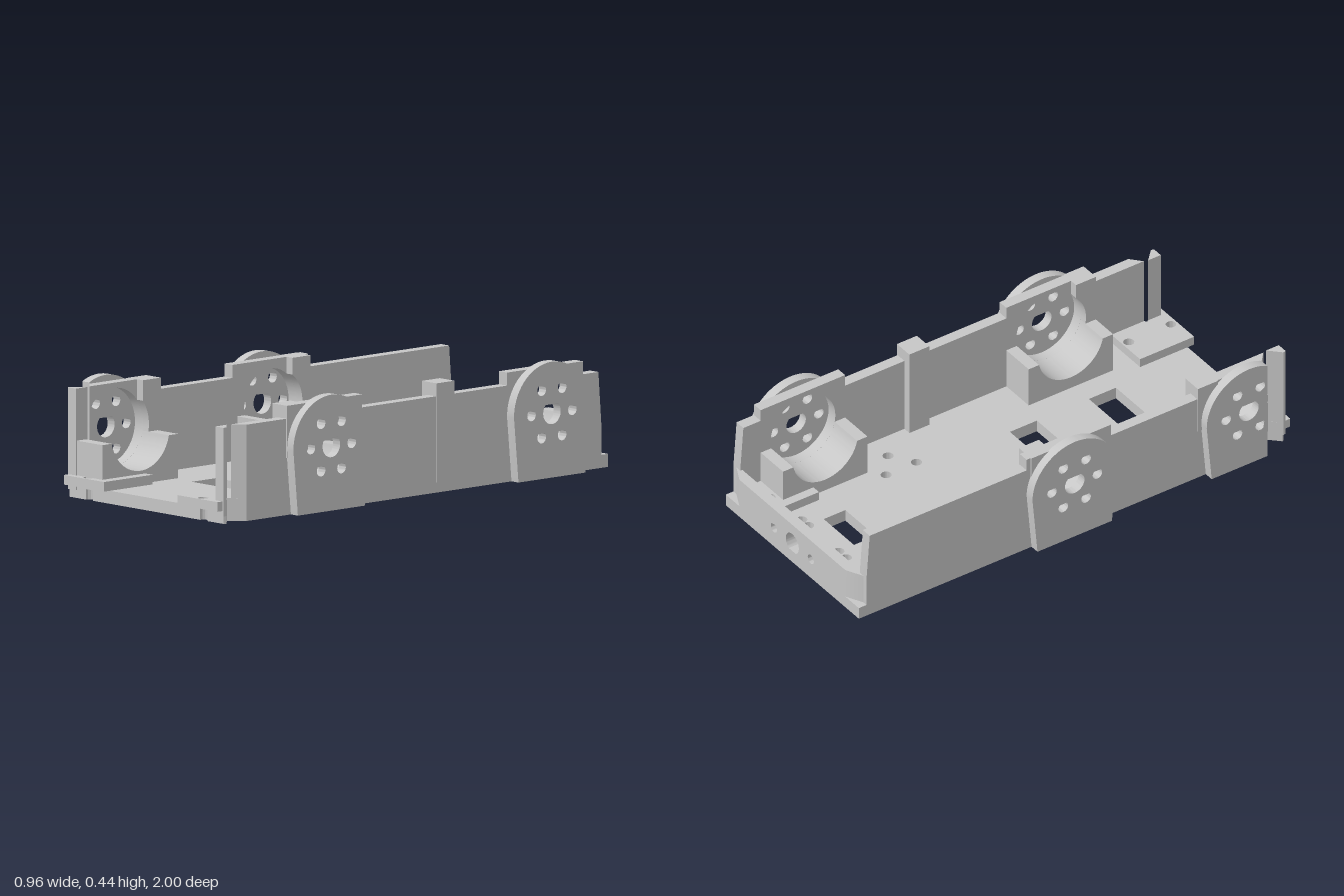
import * as THREE from 'three';
import { toCreasedNormals } from 'three/addons/utils/BufferGeometryUtils.js';

const grey = new THREE.MeshStandardMaterial({ color: 0xc6c6c6 });
grey.name = 'plain grey';

const polygon = pts => new THREE.Shape(pts.map(([a, b]) => new THREE.Vector2(a, -b)));
const sidePolygon = pts => new THREE.Shape(pts.map(([z, y]) => new THREE.Vector2(-z, y)));

// Holes all run anticlockwise
const circle = (u, v, r) => new THREE.Path().absarc(u, v, r, 0, Math.PI * 2, false);
const windowHole = (x0, x1, z0, z1) => new THREE.Path(
  [[x0, -z1], [x1, -z1], [x1, -z0], [x0, -z0]].map(q => new THREE.Vector2(...q)));

// Round hole with a pointed roof
function teardrop(u, v, r) {
  const p = new THREE.Path();
  p.moveTo(u, v + r * 1.414);
  p.absarc(u, v, r, Math.PI * 0.75, Math.PI * 2.25, false);
  p.closePath();
  return p;
}

const extrude = (shape, depth) =>
  new THREE.ExtrudeGeometry(shape, { depth, bevelEnabled: false, curveSegments: 24 });

// Plan shape (x, z) raised from y0 to y1
const slab = (shape, y0, y1) => extrude(shape, y1 - y0).rotateX(-Math.PI / 2).translate(0, y0, 0);

// Side shape (z, y) spanning x0 to x1
const panel = (shape, x0, x1) => extrude(shape, x1 - x0).rotateY(Math.PI / 2).translate(x0, 0, 0);

// Cut the front end along the slanted corner notch
function cutFront(geo) {
  const p = geo.attributes.position;
  for (let i = 0; i < p.count; i++) {
    const t = Math.min(1, Math.max(0, (Math.abs(p.getX(i)) - 0.395) / 0.045));
    p.setZ(i, Math.min(p.getZ(i), 0.9 - 0.04 * t));
  }
  return geo;
}

export function createModel() {
  const group = new THREE.Group();
  const add = (name, geo) => {
    geo = geo.index ? geo.toNonIndexed() : geo;
    geo.computeVertexNormals();
    const mesh = new THREE.Mesh(toCreasedNormals(geo, 0.5), grey);
    mesh.name = name;
    group.add(mesh);
  };
  const box = (name, x0, x1, y0, y1, z0, z1) =>
    add(name, new THREE.BoxGeometry(x1 - x0, y1 - y0, z1 - z0)
      .translate((x0 + x1) / 2, (y0 + y1) / 2, (z0 + z1) / 2));

  // Floor: a lower layer with round caster recesses, and an upper layer
  const windows = [[-0.1, 0.1, -0.785, -0.685], [-0.15, 0.15, 0.11, 0.235], [-0.15, 0.15, 0.475, 0.6]];
  const screws = [[-0.2, -0.9], [0.195, -0.9], [-0.15, -0.855], [-0.1, -0.855], [0.1, -0.855], [0.145, -0.855],
    [-0.2, -0.43], [0.195, -0.43], [-0.3, -0.355], [0.29, -0.355], [-0.2, -0.29], [0.195, -0.29],
    [-0.32, -0.75], [-0.32, 0.778], [0.32, 0.778]];
  const casters = [[-0.315, -0.85], [0.315, -0.85], [-0.315, 0.875], [0.315, 0.875]];
  function floorShape() {
    const s = new THREE.Shape();
    s.moveTo(-0.44, 1);
    [[0.44, 1], [0.44, -0.86], [0.385, -0.91], [0.435, -0.96], [0.43, -0.97]].forEach(q => s.lineTo(...q));
    s.absarc(0.32, -0.97, 0.02, 0, Math.PI, false);
    s.absarc(-0.32, -0.97, 0.02, 0, Math.PI, false);
    [[-0.43, -0.97], [-0.435, -0.96], [-0.385, -0.91], [-0.44, -0.86]].forEach(q => s.lineTo(...q));
    windows.forEach(w => s.holes.push(windowHole(...w)));
    screws.forEach(([x, z]) => s.holes.push(circle(x, -z, 0.021)));
    for (const x of [-0.32, 0.32]) s.holes.push(circle(x, 0.937, 0.016));
    return s;
  }
  const lower = floorShape();
  casters.forEach(([x, z]) => lower.holes.push(circle(x, -z, 0.07)));
  add('floorLower', slab(lower, 0, 0.03));
  const upper = floorShape();
  for (const x of [-0.3, 0.29]) upper.holes.push(circle(x, 0.9, 0.021));
  add('floorUpper', slab(upper, 0.03, 0.05));

  // Corner pads over the casters; the front ones share the corner notch
  for (const s of [-1, 1]) {
    const front = polygon([[0.205, 0.75], [0.43, 0.75], [0.43, 0.869], [0.385, 0.91], [0.43, 0.955], [0.43, 1], [0.205, 1]]
      .map(([x, z]) => [x * s, z]));
    front.holes.push(circle(0.32 * s, -0.778, 0.021), circle(0.32 * s, -0.973, 0.02));
    add('frontPad', slab(front, 0.05, 0.087));
    const back = polygon([[0.21 * s, -0.955], [0.4 * s, -0.955], [0.4 * s, -0.73], [0.21 * s, -0.73]]);
    back.holes.push(circle(s < 0 ? -0.3 : 0.29, 0.9, 0.021), circle(0.32 * s, 0.937, 0.016));
    if (s < 0) back.holes.push(circle(-0.32, 0.752, 0.02));
    add('backPad', slab(back, 0.05, 0.087));
  }
  box('floorRib', -0.355, -0.33, 0.05, 0.087, -0.73, -0.48);

  // Back wall with chamfered ends and cable holes
  const backShape = new THREE.Shape([[-0.44, 0.05], [0.44, 0.05], [0.44, 0.175], [-0.44, 0.175]]
    .map(q => new THREE.Vector2(...q)));
  const port = new THREE.Path();
  port.absarc(0, 0.088, 0.043, -1.0, Math.PI + 1.0, false);
  port.closePath();
  backShape.holes.push(port, circle(-0.122, 0.087, 0.02), circle(0.122, 0.087, 0.02));
  const backWall = extrude(backShape, 0.045).translate(0, 0, -1);
  const bp = backWall.attributes.position;
  for (let i = 0; i < bp.count; i++)
    if (bp.getZ(i) < -0.995 && Math.abs(bp.getX(i)) > 0.3) bp.setX(i, Math.sign(bp.getX(i)) * 0.35);
  add('backWall', backWall);

  // Side walls, motor mounts and posts
  const sides = {
    1: [{ z: -0.675, h: 0.195, r: 0.15 }, { z: 0.46, h: 0.195, r: 0.15, post: 0.61 }],
    '-1': [{ z: -0.03, h: 0.17, r: 0.135, post: -0.16 }, { z: 0.775, h: 0.195, r: 0.15, post: 0.61 }],
  };
  for (const s of [1, -1]) {
    const span = (a, b) => (s > 0 ? [a, b] : [-b, -a]);
    const mounts = sides[s];

    // Wall outline, raised and bored at each mount
    const outline = [[-0.965, 0], [-0.965, 0.17], [-0.95, 0.37]];
    for (const m of mounts) {
      const end = Math.min(m.z + 0.195, 0.95);
      outline.push([m.z - 0.195, 0.37], [m.z - 0.195, 0.42], [end, 0.42]);
      if (end < 0.95) outline.push([end, 0.37]);
    }
    if (s > 0) outline.push([0.95, 0.37]);
    outline.push([0.95, 0]);
    const wall = sidePolygon(outline);
    mounts.forEach(m => wall.holes.push(circle(-m.z, 0.25, m.r)));
    add('sideWall', cutFront(panel(wall, ...span(0.395, 0.44))));

    // Front corner post beyond the notch
    add('frontCornerPost', slab(polygon([[0.39 * s, 0.916], [0.438 * s, 0.963], [0.435 * s, 0.975], [0.39 * s, 0.975]]),
      0.03, s > 0 ? 0.37 : 0.42));

    for (const m of mounts) {
      // Rounded motor plate with a ring of holes
      const plate = new THREE.Shape();
      plate.moveTo(-m.z - 0.172, 0);
      plate.lineTo(-m.z + 0.172, 0);
      plate.absarc(-m.z, 0.25, 0.195, 0, Math.PI, false);
      plate.closePath();
      plate.holes.push(teardrop(-m.z, 0.25, 0.045));
      for (let i = 0; i < 6; i++) {
        const a = i * Math.PI / 3;
        plate.holes.push(teardrop(-m.z + 0.105 * Math.cos(a), 0.25 + 0.105 * Math.sin(a), 0.022));
      }
      add('motorPlate', cutFront(panel(plate, ...span(0.44, 0.479))));

      // Cradle with a half-round seat
      const a = Math.asin(0.03 / m.r);
      const cradle = new THREE.Shape();
      cradle.moveTo(-m.z - m.h, 0.04);
      cradle.lineTo(-m.z + m.h, 0.04);
      cradle.lineTo(-m.z + m.h, 0.22);
      cradle.absarc(-m.z, 0.25, m.r, -a, -Math.PI + a, true);
      cradle.lineTo(-m.z - m.h, 0.22);
      cradle.closePath();
      add('motorCradle', panel(cradle, ...span(0.247, 0.396)));

      // Cover post standing on the cradle, hollowed by the round seat
      if (m.post !== undefined) {
        const d = Math.sign(m.post - m.z);
        const inner = m.post - 0.046 * d, outer = m.post + 0.046 * d;
        const top = Math.acos(Math.abs(inner - m.z) / m.r);
        const pts = [[outer, 0.22], [outer, 0.42], [inner, 0.42]];
        for (let i = 0; i <= 8; i++) {
          const t = top + (-a - top) * i / 8;
          pts.push([m.z + d * m.r * Math.cos(t), 0.25 + m.r * Math.sin(t)]);
        }
        add('coverPost', panel(sidePolygon(pts), ...span(0.362, 0.444)));
      }
    }
  }
  box('coverPost', 0.362, 0.444, 0.04, 0.42, -0.206, -0.114);
  return group;
}
